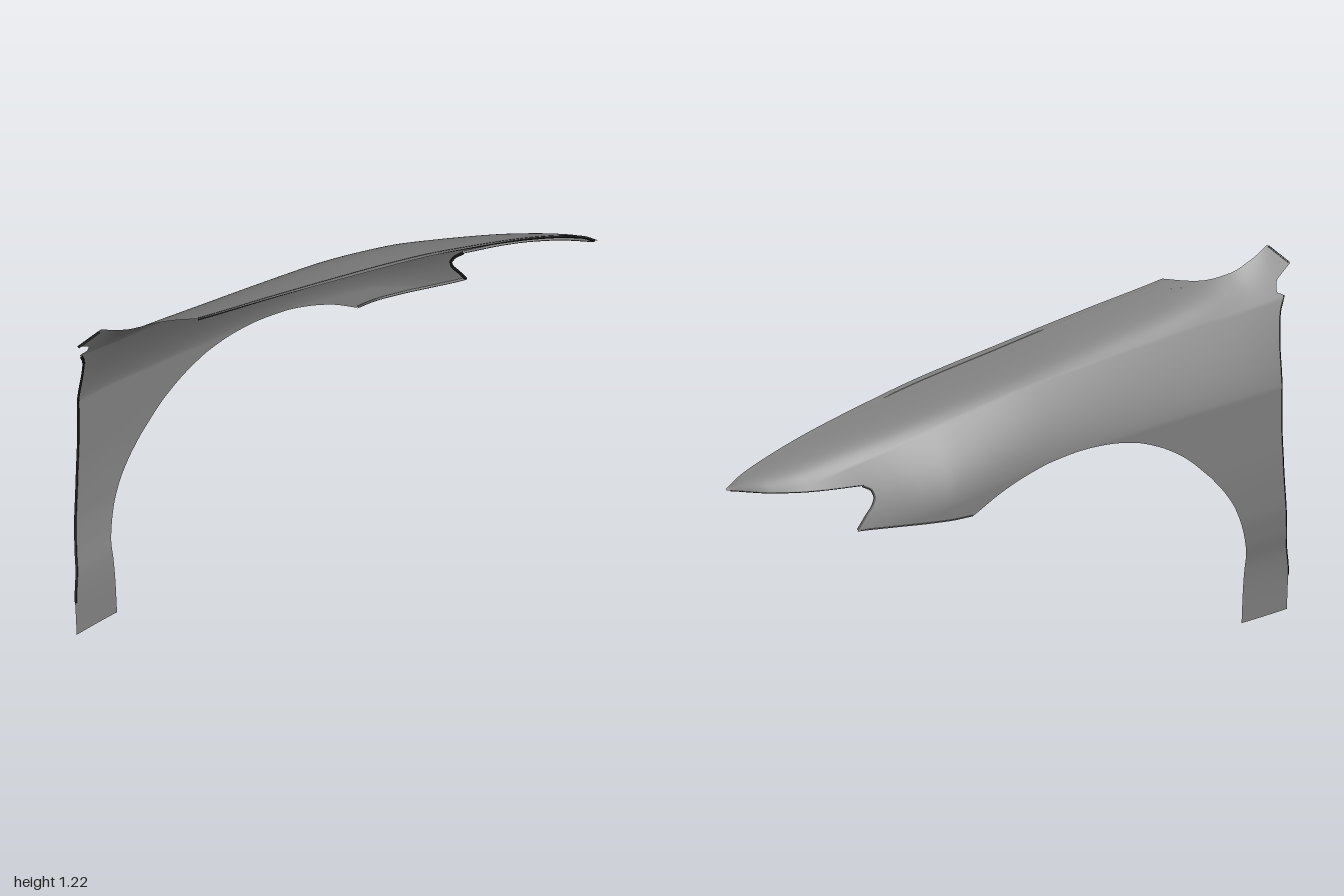
import * as THREE from 'three';
import { mergeGeometries } from 'three/addons/utils/BufferGeometryUtils.js';

const { lerp, smoothstep } = THREE.MathUtils;
const paint = new THREE.MeshStandardMaterial({ color: 0x7e7e7e, side: THREE.DoubleSide });
const dark = new THREE.MeshStandardMaterial({ color: 0x1e1e1e });

// Smooth curve through [position, value] knots
function smooth(knots) {
  const n = knots.length - 1;
  const slope = (a, b) => (knots[b][1] - knots[a][1]) / (knots[b][0] - knots[a][0]);
  const tangent = knots.map((k, i) => {
    if (i === 0) return slope(0, 1);
    if (i === n) return slope(n - 1, n);
    const a = slope(i - 1, i), b = slope(i, i + 1);
    return a * b <= 0 ? 0 : (2 * a * b) / (a + b);
  });
  return (p) => {
    if (p <= knots[0][0]) return knots[0][1];
    if (p >= knots[n][0]) return knots[n][1];
    let i = 0;
    while (p > knots[i + 1][0]) i++;
    const h = knots[i + 1][0] - knots[i][0], t = (p - knots[i][0]) / h, t2 = t * t, t3 = t2 * t;
    return knots[i][1] * (2 * t3 - 3 * t2 + 1) + knots[i + 1][1] * (3 * t2 - 2 * t3)
      + h * (tangent[i] * (t3 - 2 * t2 + t) + tangent[i + 1] * (t3 - t2));
  };
}

// Long guide lines: bonnet edge, shoulder crease and widest line
const bonnetY = smooth([[-1, 1.255], [-0.94, 1.25], [-0.8, 1.195], [-0.6, 1.155], [-0.3, 1.112], [0, 1.065],
  [0.3, 1.015], [0.5, 0.97], [0.7, 0.918], [0.85, 0.868], [0.95, 0.825], [1, 0.79]]);
const bonnetZ = (x) => 0.132 + 0.046 * x;
const shoulderY = smooth([[-1, 1.08], [-0.9, 1.07], [-0.5, 1.045], [0, 1.0], [0.3, 0.948], [0.5, 0.895],
  [0.7, 0.838], [0.8, 0.807], [0.9, 0.788], [1, 0.78]]);
const shoulderZ = smooth([[-1, -0.075], [0, -0.072], [0.3, -0.06], [0.5, -0.036], [0.6, -0.018], [0.7, 0.002],
  [0.8, 0.028], [0.9, 0.078], [1, 0.17]]);
const wideY = smooth([[-1, 0.82], [-0.5, 0.805], [0, 0.77], [0.3, 0.72], [0.5, 0.67], [0.67, 0.62], [1, 0.58]]);
const wideZ = smooth([[-0.95, -0.165], [-0.85, -0.174], [-0.75, -0.18], [-0.6, -0.182], [0.22, -0.182],
  [0.35, -0.176], [0.45, -0.152], [0.55, -0.118], [0.67, -0.083], [0.8, -0.06], [1, 0.1]]);
const tuckIn = smooth([[0, 0.073], [0.12, 0.065], [0.2, 0.055], [0.3, 0.031], [0.4, 0.014], [0.6, 0.002], [0.82, 0]]);

// Depth of the sheet at a point of its side outline
function depth(x, y) {
  const s = shoulderY(x), w = wideY(x);
  if (y >= s) {
    const t = Math.min(1.05, (y - s) / (bonnetY(x) - s));
    const crown = lerp(0.4 * t + 0.6 * t * t * t, 0.7 * t, smoothstep(-x, 0.6, 0.95));
    return lerp(shoulderZ(x), bonnetZ(x), crown);
  }
  if (y >= w) {
    const bulge = lerp(1.3, 1.6, smoothstep(x, -0.6, 0.2));
    return lerp(wideZ(x), shoulderZ(x), Math.pow((y - w) / (s - w), bulge));
  }
  return wideZ(x) + tuckIn(y) - tuckIn(w);
}

// Outward normal of the sheet
function normalAt(x, y) {
  const e = 0.005;
  const dx = (depth(x + e, y) - depth(x - e, y)) / (2 * e);
  const dy = (depth(x, y + e) - depth(x, y - e)) / (2 * e);
  return new THREE.Vector3(dx, dy, -1).normalize();
}

// Part of the sheet over a patch of the side outline
function sheet(nu, nv, xy) {
  const position = [], normal = [], index = [];
  for (let j = 0; j <= nv; j++) {
    for (let i = 0; i <= nu; i++) {
      const [x, y] = xy(i / nu, j / nv);
      position.push(x, y, depth(x, y));
      normal.push(...normalAt(x, y).toArray());
      if (i < nu && j < nv) {
        const a = j * (nu + 1) + i, b = a + 1, c = a + nu + 1, d = c + 1;
        index.push(a, c, b, b, c, d);
      }
    }
  }
  const geometry = new THREE.BufferGeometry();
  geometry.setAttribute('position', new THREE.Float32BufferAttribute(position, 3));
  geometry.setAttribute('normal', new THREE.Float32BufferAttribute(normal, 3));
  geometry.setIndex(index);
  return geometry;
}
const rows = (nu, nv, y0, y1, left, right) => sheet(nu, nv, (u, v) => {
  const y = lerp(y0, y1, v);
  return [lerp(left(y), right(y), u), y];
});
const columns = (nu, nv, x0, x1, low, high) => sheet(nu, nv, (u, v) => {
  const x = lerp(x0, x1, u);
  return [x, lerp(low(x), high(x), v)];
});

// Trim lines of the outline
const rearX = smooth([[0, -0.942], [0.12, -0.942], [0.25, -0.92], [0.4, -0.897], [0.55, -0.88], [0.7, -0.872],
  [0.8, -0.872], [0.9, -0.882], [1.0, -0.905], [1.05, -0.925], [1.08, -0.945], [1.09, -0.925],
  [1.12, -0.935], [1.14, -0.965]]);
const archRearX = smooth([[0, -0.762], [0.23, -0.762], [0.3, -0.748], [0.43, -0.7], [0.5, -0.657], [0.57, -0.6]]);
const archY = smooth([[-0.6, 0.57], [-0.5, 0.665], [-0.4, 0.728], [-0.3, 0.767], [-0.2, 0.784], [-0.13, 0.787],
  [0, 0.775], [0.1, 0.75], [0.2, 0.712], [0.3, 0.658]]);
const lampX = smooth([[0.658, 0.67], [0.7, 0.638], [0.74, 0.607], [0.76, 0.6], [0.78, 0.605], [0.795, 0.63]]);
const noseY = (x) => (x < 0.63 ? 0.795 : lerp(0.795, 0.787, (x - 0.63) / 0.37));
const cowlY = smooth([[-0.94, 1.22], [-0.87, 1.185], [-0.8, 1.16], [-0.7, 1.15], [-0.6, 1.155]]);
const tailY = (x) => (x < -0.94 ? lerp(1.16, 1.22, (x + 1) / 0.06) : cowlY(x));

// Thin square hem along a trim line, set just inside the sheet
function hem(name, n, lineAt) {
  const points = [];
  for (let i = 0; i <= n; i++) {
    const [x, y] = lineAt(i / n);
    points.push(new THREE.Vector3(x, y, depth(x, y)).addScaledVector(normalAt(x, y), -0.004));
  }
  const tube = new THREE.TubeGeometry(new THREE.CatmullRomCurve3(points), n * 2, 0.005, 4).toNonIndexed();
  tube.computeVertexNormals();
  const mesh = new THREE.Mesh(tube, dark);
  mesh.name = name;
  return mesh;
}

export function createModel() {
  const model = new THREE.Group();
  model.name = 'frontFender';

  // Outer sheet: rear post, door side, cowl corner, arch span, lamp corner, nose
  const panel = new THREE.Mesh(mergeGeometries([
    rows(16, 60, 0, 0.57, rearX, archRearX),
    rows(24, 100, 0.57, 1.14, rearX, () => -0.6),
    sheet(40, 12, (u, v) => {
      const x = lerp(-1, -0.6, u);
      return [lerp(lerp(-0.965, -0.6, u), x, v), lerp(1.14, tailY(x), v)];
    }),
    columns(60, 100, -0.6, 0.3, archY, bonnetY),
    rows(40, 40, 0.658, 0.795, () => 0.3, lampX),
    columns(70, 60, 0.3, 1, noseY, bonnetY),
  ]), paint);
  panel.name = 'fenderPanel';
  model.add(panel);

  // Hemmed edges
  model.add(
    hem('doorEdgeHem', 50, (u) => { const y = lerp(0.12, 1.08, u); return [rearX(y), y]; }),
    hem('cowlTailHem', 6, (u) => [lerp(-0.997, -0.943, u), lerp(1.16, 1.216, u)]),
    hem('bumperEdgeHem', 16, (u) => [lerp(0.3, 0.668, u), 0.662]),
    hem('lampEdgeHem', 20, (u) => { const y = lerp(0.662, 0.795, u); return [lampX(y), y]; }),
    hem('noseEdgeHem', 24, (u) => { const x = lerp(0.63, 0.99, u); return [x, noseY(x) + 0.003]; }),
    hem('bonnetEdgeHem', 50, (u) => { const x = lerp(-0.6, 0.99, u); return [x, bonnetY(x) - 0.003]; }),
  );
  return model;
}
